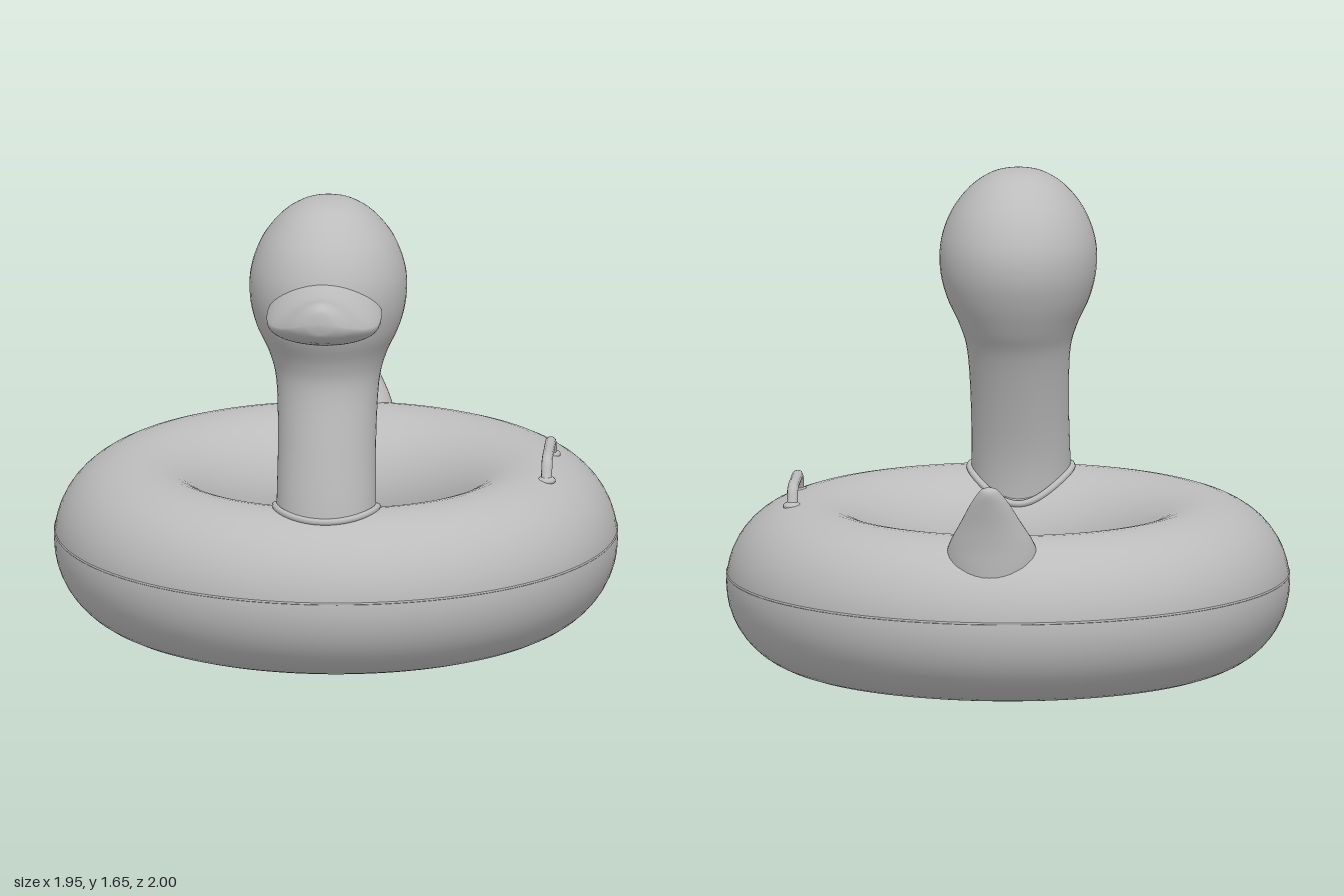
import * as THREE from 'three';

const vinyl = new THREE.MeshStandardMaterial({ color: 0xbcbcbc });
vinyl.name = 'grey vinyl';

const RING = { z: -0.03, y: 0.2875, radius: 0.69, tube: 0.285 };

// height of the ring's upper surface above a point
function ringTop(x, z) {
  const d = Math.hypot(x, z - RING.z) - RING.radius;
  return RING.y + Math.sqrt(Math.max(0, RING.tube ** 2 - d * d));
}

// smooth values between the rows of a section table
function resample(table, steps) {
  const out = [];
  const n = table.length - 1;
  for (let i = 0; i < n * steps + 1; i++) {
    const k = Math.min(Math.floor(i / steps), n - 1);
    const t = i / steps - k;
    const at = (j) => table[Math.max(0, Math.min(n, j))];
    out.push(table[k].map((_, c) => {
      const [a, b, d, e] = [at(k - 1)[c], at(k)[c], at(k + 1)[c], at(k + 2)[c]];
      return b + 0.5 * t * (d - a + t * (2 * a - 5 * b + 4 * d - e + t * (3 * (b - d) + e - a)));
    }));
  }
  return out;
}

// skin over closed cross-sections; point(row, angle) gives [x, y, z]
function loft(rows, point, sides = 48) {
  const pos = [], index = [];
  rows.forEach((row, r) => {
    for (let s = 0; s < sides; s++) {
      pos.push(...point(row, (s / sides) * Math.PI * 2));
      if (r === rows.length - 1) continue;
      const a = r * sides + s, b = r * sides + ((s + 1) % sides);
      index.push(a, a + sides, b, b, a + sides, b + sides);
    }
  });
  const geo = new THREE.BufferGeometry();
  geo.setAttribute('position', new THREE.Float32BufferAttribute(pos, 3));
  geo.setIndex(index);
  geo.computeVertexNormals();
  return geo;
}

// upright section: height, back z, front z, half width
const upright = ([y, back, front, w], a) => [
  Math.max(w, 0.0005) * Math.cos(a), y,
  (back + front) / 2 + Math.max((front - back) / 2, 0.0005) * Math.sin(a),
];

// bill section: z, mouth height, half width, rise, drop
const billSection = ([z, y, w, up, down], a) => {
  const s = -Math.sin(a);
  return [
    Math.max(w, 0.0005) * Math.cos(a),
    y + (s > 0 ? Math.max(up, 0.0005) * s ** 1.6 : Math.max(down, 0.0005) * s),
    z,
  ];
};

export function createModel() {
  const model = new THREE.Group();
  model.name = 'birdSwimRing';
  const add = (name, geometry) => {
    const mesh = new THREE.Mesh(geometry, vinyl);
    mesh.name = name;
    model.add(mesh);
    return mesh;
  };

  // inflated ring with its welded seam
  const ring = new THREE.TorusGeometry(RING.radius, RING.tube, 48, 112);
  ring.rotateX(Math.PI / 2).scale(1, RING.y / RING.tube, 0.995).translate(0, RING.y, RING.z);
  add('ring', ring);
  const seam = new THREE.TorusGeometry(0.969, 0.007, 6, 112);
  seam.rotateX(Math.PI / 2).scale(1, 0.7, 0.995).translate(0, 0.32, RING.z);
  add('ringSeam', seam);

  // neck swelling into the head
  add('neckAndHead', loft(resample([
    [0.40, 0.46, 0.775, 0.175],
    [0.60, 0.44, 0.752, 0.172],
    [0.80, 0.385, 0.716, 0.17],
    [1.00, 0.31, 0.68, 0.178],
    [1.10, 0.25, 0.695, 0.203],
    [1.20, 0.198, 0.745, 0.248],
    [1.30, 0.166, 0.772, 0.271],
    [1.40, 0.167, 0.768, 0.267],
    [1.50, 0.208, 0.727, 0.231],
    [1.58, 0.276, 0.658, 0.17],
    [1.625, 0.345, 0.588, 0.108],
    [1.643, 0.405, 0.528, 0.055],
    [1.648, 0.466, 0.466, 0],
  ], 5), upright));

  // welded collar following the ring's surface
  const collar = [];
  for (let i = 0; i < 32; i++) {
    const a = (i / 32) * Math.PI * 2;
    const x = 0.177 * Math.cos(a), z = 0.597 + 0.16 * Math.sin(a);
    collar.push(new THREE.Vector3(x, ringTop(x, z) + 0.008, z));
  }
  add('neckCollar', new THREE.TubeGeometry(new THREE.CatmullRomCurve3(collar, true), 64, 0.012, 8, true));

  // broad bill
  add('bill', loft(resample([
    [0.60, 1.32, 0.18, 0.12, 0.13],
    [0.70, 1.305, 0.198, 0.125, 0.12],
    [0.80, 1.285, 0.192, 0.125, 0.075],
    [0.88, 1.29, 0.155, 0.11, 0.053],
    [0.95, 1.31, 0.108, 0.095, 0.047],
    [0.985, 1.327, 0.062, 0.066, 0.038],
    [0.996, 1.335, 0.032, 0.036, 0.02],
    [1.00, 1.337, 0, 0, 0],
  ], 5), billSection));

  // pointed tail sweeping backwards
  add('tail', loft(resample([
    [0.40, -0.93, -0.62, 0.165],
    [0.50, -0.938, -0.655, 0.163],
    [0.57, -0.943, -0.69, 0.147],
    [0.65, -0.954, -0.775, 0.106],
    [0.72, -0.969, -0.845, 0.07],
    [0.765, -0.978, -0.89, 0.042],
    [0.785, -0.972, -0.92, 0.024],
    [0.79, -0.948, -0.948, 0],
  ], 5), upright, 40));

  // grab handle on the left side, with flared feet
  const grip = [[0.54, 0.195], [0.575, 0.172], [0.615, 0.145], [0.625, 0.11], [0.625, 0.01],
    [0.625, -0.085], [0.615, -0.12], [0.575, -0.143], [0.54, -0.165]]
    .map(([y, z]) => new THREE.Vector3(0.74, y, z));
  add('handle', new THREE.TubeGeometry(new THREE.CatmullRomCurve3(grip), 48, 0.019, 12));
  for (const z of [0.175, -0.148]) {
    const foot = add('handleFoot', new THREE.SphereGeometry(0.032, 16, 10));
    foot.scale.y = 0.5;
    foot.position.set(0.74, ringTop(0.74, z), z);
  }

  return model;
}
